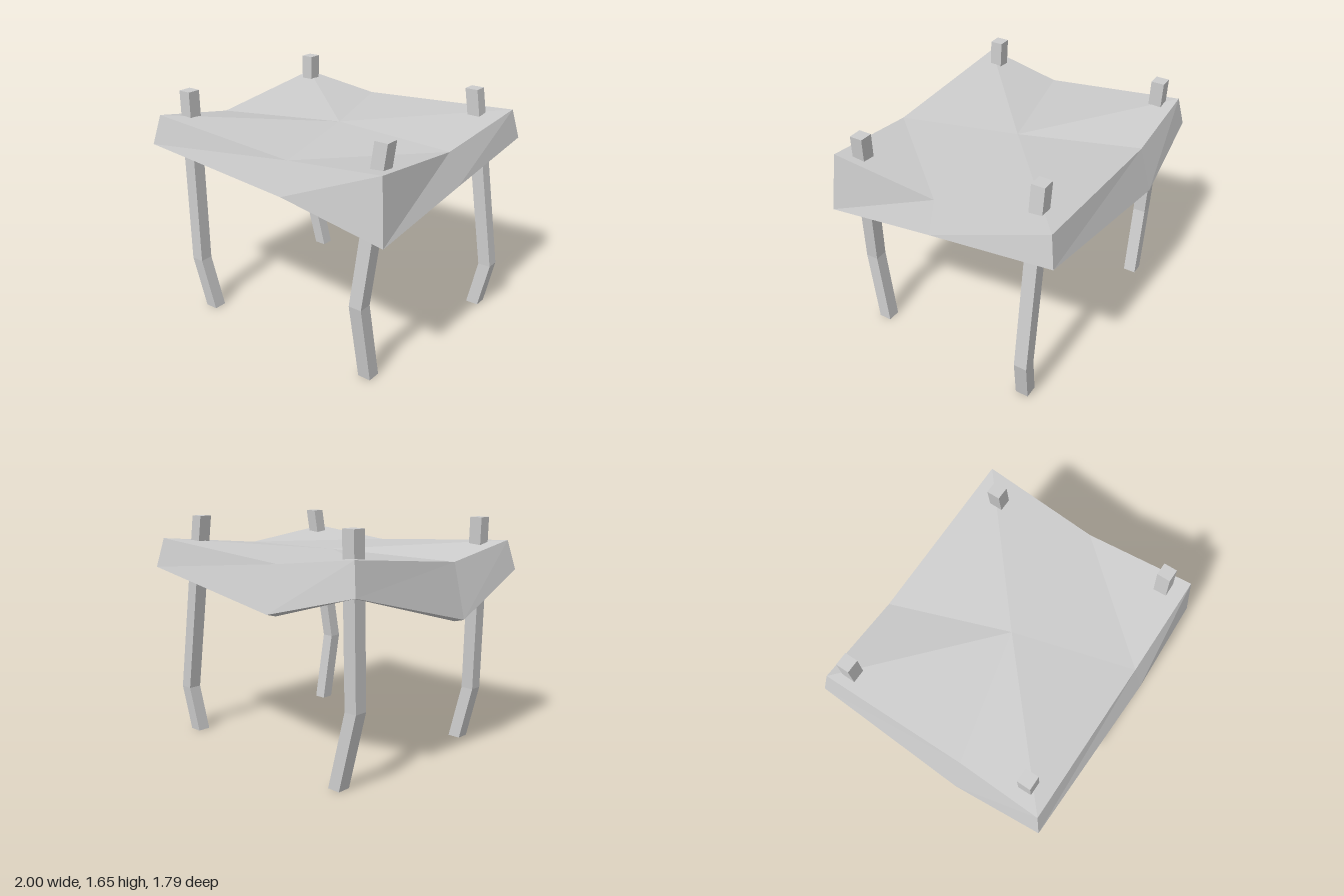
import * as THREE from 'three';

const material = new THREE.MeshStandardMaterial({ color: 0xcccccc, flatShading: true });

// Faceted mesh from polygons, each listed counter-clockwise from outside
function facetedMesh(name, polygons) {
  const pos = [];
  for (const p of polygons) {
    for (let i = 1; i < p.length - 1; i++) pos.push(...p[0], ...p[i], ...p[i + 1]);
  }
  const geometry = new THREE.BufferGeometry();
  geometry.setAttribute('position', new THREE.Float32BufferAttribute(pos, 3));
  geometry.computeVertexNormals();
  const mesh = new THREE.Mesh(geometry, material);
  mesh.name = name;
  return mesh;
}

// Sagging cover with a thick hanging rim
function createCanopy() {
  // Edge of the top, from the front middle round by the left, back and right
  const top = [
    [0.23, 1.42, 0.82], [0.94, 1.49, 0.82], [0.92, 1.405, 0.04], [0.94, 1.49, -0.80],
    [-0.29, 1.41, -0.805], [-0.94, 1.49, -0.80], [-0.91, 1.385, 0.22], [-0.94, 1.49, 0.82],
  ];
  // Lower edge of the rim
  const hem = [
    [0.23, 1.20, 0.895], [0.985, 1.06, 0.865], [1.0, 1.185, 0.04], [0.985, 1.28, -0.84],
    [-0.29, 1.10, -0.895], [-0.985, 1.28, -0.84], [-1.0, 1.005, 0.22], [-0.985, 1.28, 0.865],
  ];
  // Inner skin: pull each point inward across the sides it belongs to
  const inset = (points, amount, drop) => points.map(([x, y, z]) => [
    Math.abs(x) > 0.5 ? x - Math.sign(x) * amount : x,
    y - drop,
    Math.abs(z) > 0.5 ? z - Math.sign(z) * amount : z,
  ]);
  const innerTop = inset(top, 0.06, 0.08);
  const innerHem = inset(hem, 0.075, 0.02);
  const centre = [0, 1.42, 0];
  const innerCentre = [0, 1.34, 0];

  const faces = [];
  for (let i = 0; i < 8; i++) {
    const j = (i + 1) % 8;
    faces.push([hem[i], hem[j], top[j], top[i]]);
    faces.push([innerHem[i], innerHem[j], hem[j], hem[i]]);
    faces.push([innerTop[i], innerTop[j], innerHem[j], innerHem[i]]);
    if (i > 1) {
      faces.push([centre, top[i], top[j]]);
      faces.push([innerCentre, innerTop[j], innerTop[i]]);
    }
  }
  // The front left corner folds on a line between its two edge middles
  faces.push([centre, top[0], top[2]], [top[0], top[1], top[2]]);
  faces.push([innerCentre, innerTop[2], innerTop[0]], [innerTop[0], innerTop[2], innerTop[1]]);
  return facetedMesh('canopy', faces);
}

// Bent square post through a list of centres from bottom to top
function createPost(name, path) {
  const h = 0.047;
  const rings = path.map(([x, y, z]) => [
    [x - h, y, z + h], [x + h, y, z + h], [x + h, y, z - h], [x - h, y, z - h],
  ]);
  const faces = [[...rings[0]].reverse(), rings[rings.length - 1]];
  for (let r = 0; r < rings.length - 1; r++) {
    for (let i = 0; i < 4; i++) {
      const j = (i + 1) % 4;
      faces.push([rings[r][i], rings[r][j], rings[r + 1][j], rings[r + 1][i]]);
    }
  }
  return facetedMesh(name, faces);
}

export function createModel() {
  const model = new THREE.Group();
  model.name = 'shelter';
  model.add(createCanopy());

  // Crooked posts that poke through the cover
  const posts = {
    frontLeftPost: [[0.77, 0, 0.685], [0.745, 0.55, 0.76], [0.845, 1.635, 0.657]],
    frontRightPost: [[-0.673, 0, 0.67], [-0.755, 0.39, 0.70], [-0.805, 1.655, 0.657]],
    backLeftPost: [[0.865, 0, -0.59], [0.93, 0.335, -0.615], [0.727, 1.655, -0.61]],
    backRightPost: [[-0.70, 0, -0.675], [-0.822, 0.53, -0.655], [-0.825, 1.655, -0.685]],
  };
  for (const [name, path] of Object.entries(posts)) model.add(createPost(name, path));
  return model;
}
